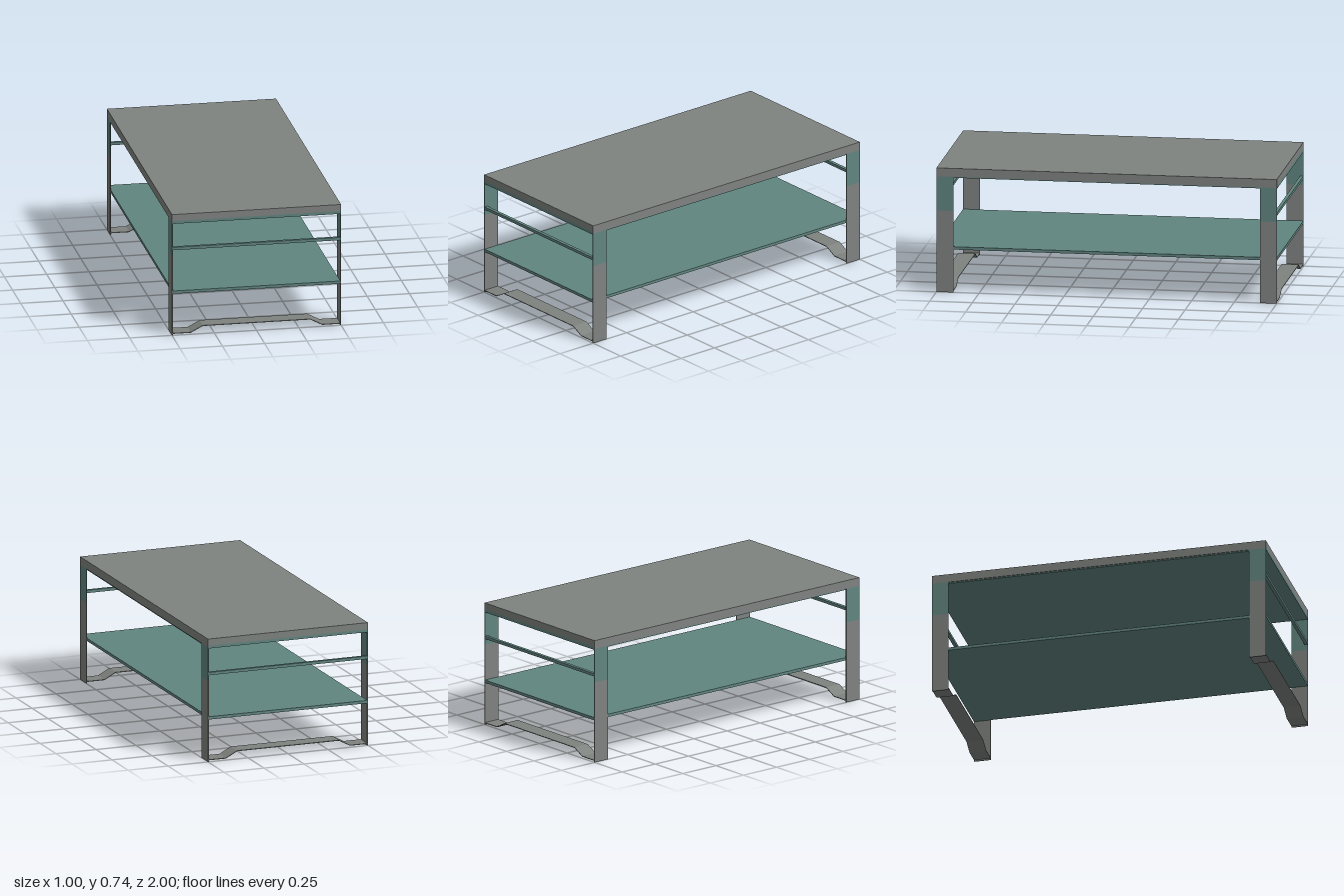
import * as THREE from 'three';

export function createModel() {
  const model = new THREE.Group();
  model.name = 'coffeeTable';

  const grey = new THREE.MeshStandardMaterial({ color: 0x7f8380 });
  grey.name = 'greyMetal';
  const teal = new THREE.MeshStandardMaterial({ color: 0x618580 });
  teal.name = 'tealMetal';

  // Box given by its minimum and maximum corners
  function box(name, material, [x0, y0, z0], [x1, y1, z1]) {
    const mesh = new THREE.Mesh(new THREE.BoxGeometry(x1 - x0, y1 - y0, z1 - z0), material);
    mesh.position.set((x0 + x1) / 2, (y0 + y1) / 2, (z0 + z1) / 2);
    mesh.name = name;
    model.add(mesh);
    return mesh;
  }

  const W = 0.5, T = 0.005, IN = W - T;

  // Table top over a teal underlay, and the shelf
  box('tableTop', grey, [-W, 0.698, -1], [W, 0.738, 1]);
  box('topUnderlay', teal, [-IN, 0.681, -1], [IN, 0.698, 1]);
  box('shelf', teal, [-IN, 0.254, -1], [IN, 0.271, 1]);

  // Bent foot strip profile: upper line, then back along the lower line
  const t = 0.004;
  const line = [[-IN, 0.013], [-0.388, 0.013], [-0.318, 0.05], [0.318, 0.05], [0.388, 0.013], [IN, 0.013]];
  const outline = [...line, ...line.map(([x, y]) => [x, y - t]).reverse()];
  const footShape = new THREE.Shape(outline.map(([x, y]) => new THREE.Vector2(x, y)));
  const footGeometry = new THREE.ExtrudeGeometry(footShape, { depth: 0.1, bevelEnabled: false });

  for (const end of [1, -1]) {
    const z0 = end > 0 ? 0.9 : -1;
    const z1 = z0 + 0.1;

    // Flat legs: teal above, grey below
    for (const side of [1, -1]) {
      const x0 = side > 0 ? IN : -W;
      box('lowerLeg', grey, [x0, 0, z0], [x0 + T, 0.485, z1]);
      box('upperLeg', teal, [x0, 0.485, z0], [x0 + T, 0.688, z1]);
    }

    // Thin end rail, flush with the outer edge
    const r0 = end > 0 ? 0.98 : -1;
    box('endRail', teal, [-IN, 0.52, r0], [IN, 0.537, r0 + 0.02]);

    const foot = new THREE.Mesh(footGeometry, grey);
    foot.position.z = z0;
    foot.name = 'footStrip';
    model.add(foot);
  }

  // Grey side strips hanging below the top
  for (const x0 of [IN, -W]) {
    box('sideStrip', grey, [x0, 0.688, -1], [x0 + T, 0.698, 1]);
  }

  return model;
}
